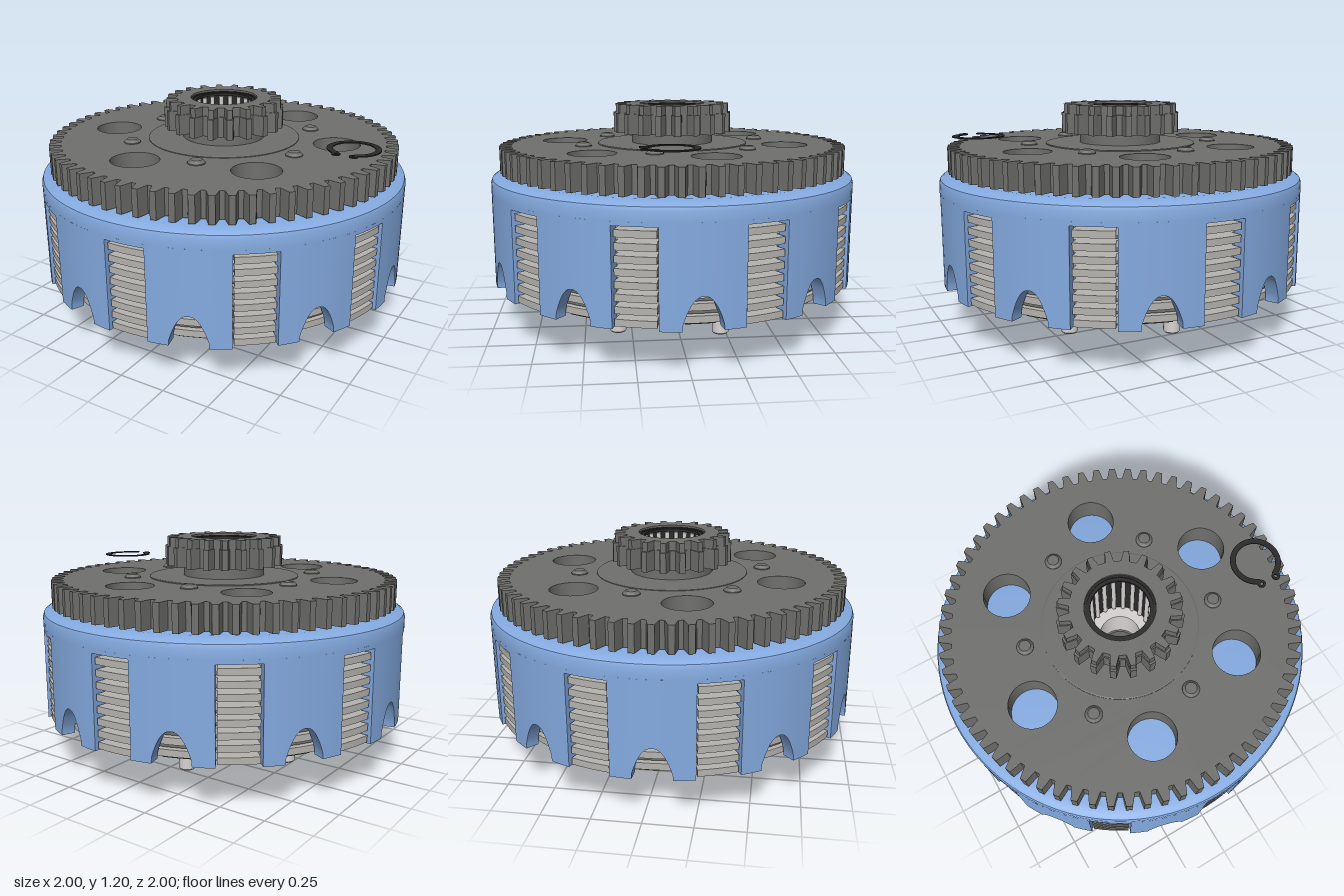
import * as THREE from 'three';
import { toCreasedNormals } from 'three/addons/utils/BufferGeometryUtils.js';

const RAD = Math.PI / 180;
const material = (color) => new THREE.MeshStandardMaterial({ color });
const BLUE = material(0x84aae0), GEAR = material(0x70706e), STEEL = material(0xd8d3d3);
const PLATE = material(0xb6b4af), DARK = material(0x2a2a2a), NUT = material(0x78768a);

const polar = (r, a) => new THREE.Vector2(r * Math.cos(a), r * Math.sin(a));
const circle = (r, x = 0, y = 0) => new THREE.Path().absarc(x, y, r, 0, Math.PI * 2);

// Vertical extrusion of a plan shape; shape +y points to the back (-z).
function slab(shape, y0, y1, segments = 24) {
  const g = new THREE.ExtrudeGeometry(shape, { depth: y1 - y0, bevelEnabled: false, curveSegments: segments });
  g.rotateX(-Math.PI / 2).translate(0, y0, 0);
  return toCreasedNormals(g, 0.45);
}

// Closed (radius, height) profile, listed counter-clockwise.
function turned(profile, segments = 64) {
  const pts = [...profile, profile[0]].map(([r, y]) => new THREE.Vector2(r, y));
  return toCreasedNormals(new THREE.LatheGeometry(pts, segments), 0.5);
}

// Gear outline with trapezoid teeth; root and tip are shares of the pitch.
function gearShape(n, rootR, tipR, root = 0.68, tip = 0.34, bore = 0) {
  const pts = [], pitch = Math.PI * 2 / n;
  for (let i = 0; i < n; i++) {
    const c = Math.PI / 2 + i * pitch;
    pts.push(polar(rootR, c - root * pitch / 2), polar(rootR + (tipR - rootR) * 0.6, c - (root * 0.4 + tip * 0.6) * pitch / 2),
      polar(tipR, c - tip * pitch / 2), polar(tipR, c + tip * pitch / 2),
      polar(rootR + (tipR - rootR) * 0.6, c + (root * 0.4 + tip * 0.6) * pitch / 2), polar(rootR, c + root * pitch / 2));
  }
  const s = new THREE.Shape(pts);
  if (bore) s.holes.push(circle(bore));
  return s;
}

function sector(r0, r1, a0, a1) {
  const s = new THREE.Shape();
  s.absarc(0, 0, r1, a0, a1, false);
  s.absarc(0, 0, r0, a1, a0, true);
  return s;
}

// Basket wall: radial cross-sections whose lower edge follows slots and arches.
function basketWall() {
  const low = 0.235, high = 0.74, slotTop = 0.72, rIn = 0.93, rOut = 1;
  const sections = [];
  for (let k = 0; k < 10; k++) {
    const c = (3 + 36 * k) * RAD;
    const add = (deg, y) => sections.push([c + deg * RAD, y]);
    for (let d = -6.25; d <= 6.26; d += 2.5) add(d, slotTop);
    add(6.25, low);
    add(9.5, low);
    add(12.4, low);
    for (let i = 0; i <= 20; i++) {
      const t = i / 10 - 1;
      add(18 + t * 5.5, low + 0.03 + 0.135 * (1 - Math.abs(t) ** 2.3));
    }
    add(23.6, low);
    add(26.5, low);
    add(29.75, low);
  }
  const pos = [], idx = [], n = sections.length;
  sections.forEach(([a, y], i) => {
    for (const [r, h] of [[rIn, y], [rOut, y], [rOut, high], [rIn, high]]) pos.push(r * Math.sin(a), h, r * Math.cos(a));
    for (let k = 0; k < 4; k++) {
      const j = (i + 1) % n, m = (k + 1) % 4;
      const p = i * 4 + k, q = j * 4 + k, s = j * 4 + m, t = i * 4 + m;
      idx.push(p, q, s, p, s, t);
    }
  });
  const g = new THREE.BufferGeometry();
  g.setAttribute('position', new THREE.Float32BufferAttribute(pos, 3));
  g.setIndex(idx);
  return toCreasedNormals(g, 0.6);
}

// Friction plate outline: ring with ten tabs that sit in the basket slots.
function frictionShape() {
  const pts = [];
  for (let k = 0; k < 10; k++) {
    const c = (-87 + 36 * k) * RAD;
    for (let d = -5.8; d <= 5.81; d += 2.9) pts.push(polar(0.985, c + d * RAD));
    for (let d = 5.8; d <= 30.3; d += 3.05) pts.push(polar(0.92, c + d * RAD));
  }
  const s = new THREE.Shape(pts);
  s.holes.push(circle(0.73));
  return s;
}

export function createModel() {
  const model = new THREE.Group();
  const add = (name, geometry, mat, parent = model) => {
    const m = new THREE.Mesh(geometry, mat);
    m.name = name;
    parent.add(m);
    return m;
  };
  const group = (name) => {
    const g = new THREE.Group();
    g.name = name;
    model.add(g);
    return g;
  };

  // Basket
  const basket = group('basket');
  add('basketWall', basketWall(), BLUE, basket);
  add('basketTop', turned([[0.93, 0.74], [1, 0.74], [1, 0.79], [0.993, 0.81], [0.975, 0.823], [0.93, 0.835],
    [0.2, 0.835], [0.2, 0.765], [0.93, 0.765]], 96), BLUE, basket);

  // Large gear with six round windows and six rivets
  const bigGear = gearShape(66, 0.885, 0.95, 0.72, 0.34, 0.19);
  const rivets = group('rivets');
  for (let i = 0; i < 6; i++) {
    const w = polar(0.625, (15 + 60 * i) * RAD), r = polar(0.51, (45 + 60 * i) * RAD);
    bigGear.holes.push(circle(0.125, w.x, w.y));
    add('rivet', turned([[0, 0.97], [0.045, 0.97], [0.045, 0.985], [0.03, 1], [0, 1]], 20), GEAR, rivets).position.set(r.x, 0, -r.y);
  }
  add('largeGear', slab(bigGear, 0.842, 0.98), GEAR);
  add('gearCentre', turned([[0.19, 0.95], [0.415, 0.95], [0.415, 0.984], [0.41, 0.987], [0.19, 0.987]]), GEAR);

  // Small gear on its neck
  add('gearNeck', turned([[0.18, 0.95], [0.225, 0.95], [0.225, 1.06], [0.18, 1.06]]), GEAR);
  add('smallGear', slab(gearShape(20, 0.262, 0.325, 0.66, 0.3, 0.18), 1.045, 1.152), GEAR);
  add('smallGearTop', slab(gearShape(20, 0.256, 0.313, 0.54, 0.28, 0.18), 1.152, 1.2), GEAR);

  // Needle bearing in the bore
  const bearing = group('needleBearing');
  add('bearingCage', turned([[0.168, 0.8], [0.188, 0.8], [0.188, 1.19], [0.168, 1.19]]), DARK, bearing);
  add('bearingLip', turned([[0.15, 1.17], [0.18, 1.17], [0.18, 1.185], [0.15, 1.185]]), DARK, bearing);
  for (let i = 0; i < 20; i++) {
    const p = polar(0.162, i * Math.PI / 10);
    add('needle', new THREE.CylinderGeometry(0.012, 0.012, 0.34, 10), STEEL, bearing).position.set(p.x, 0.995, p.y);
  }
  add('shaftSleeve', turned([[0.11, 0.45], [0.19, 0.45], [0.19, 0.81], [0.11, 0.81]]), STEEL);

  // Plate stack
  const stack = group('plateStack');
  const frictionGeo = slab(frictionShape(), 0, 0.035, 48);
  const steelShape = new THREE.Shape().absarc(0, 0, 0.9, 0, Math.PI * 2);
  steelShape.holes.push(circle(0.68));
  const steelGeo = slab(steelShape, 0, 0.016, 40);
  for (let i = 0; i < 8; i++) {
    const y = 0.245 + i * 0.06;
    add('frictionPlate', frictionGeo, PLATE, stack).position.y = y;
    add('steelPlate', steelGeo, GEAR, stack).position.y = y + 0.04;
  }
  const padGeo = slab(sector(0.745, 0.91, -4.6 * RAD, 4.6 * RAD), 0.238, 0.25, 4);
  for (let i = 0; i < 30; i++) add('frictionPad', padGeo, DARK, stack).rotation.y = (i * 12 + 3) * RAD;

  // Splined inner hub with fluted inside
  const hub = gearShape(40, 0.645, 0.69, 0.6, 0.45);
  hub.holes.push(new THREE.Path(gearShape(40, 0.595, 0.625, 0.6, 0.45).getPoints()));
  add('innerHub', slab(hub, 0.29, 0.7), STEEL);
  add('hubFloor', turned([[0.15, 0.6], [0.64, 0.6], [0.64, 0.66], [0.15, 0.66]]), STEEL);
  add('hubBoss', turned([[0.1, 0.49], [0.24, 0.49], [0.25, 0.5], [0.25, 0.53], [0.31, 0.53], [0.31, 0.61], [0.1, 0.61]]), GEAR);
  const hex = new THREE.Shape(Array.from({ length: 6 }, (_, i) => polar(0.15, i * Math.PI / 3)));
  hex.holes.push(circle(0.1));
  add('hubNut', slab(hex, 0.41, 0.49), NUT);

  // Five pins in sleeves
  const pins = group('pins');
  for (let i = 0; i < 5; i++) {
    const p = polar(0.468, (43.7 + 72 * i) * RAD);
    add('pin', turned([[0, 0], [0.038, 0], [0.045, 0.008], [0.045, 0.62], [0, 0.62]], 24), STEEL, pins).position.set(p.x, 0, p.y);
    add('pinSleeve', turned([[0.045, 0.29], [0.068, 0.29], [0.075, 0.3], [0.075, 0.61], [0.045, 0.61]], 24), STEEL, pins).position.set(p.x, 0, p.y);
  }

  // Loose retaining clip, open towards the front
  const clip = group('retainingClip');
  clip.position.set(0.79, 1.042, 0.075);
  add('clipRing', slab(sector(0.105, 0.135, -68 * RAD, 248 * RAD), 0, 0.006, 48), DARK, clip);
  for (const side of [-1, 1]) {
    const ear = new THREE.Shape().absarc(side * 0.045, -0.126, 0.022, 0, Math.PI * 2);
    ear.holes.push(circle(0.009, side * 0.045, -0.126));
    add('clipEar', slab(ear, 0, 0.0065, 10), DARK, clip);
  }
  return model;
}
